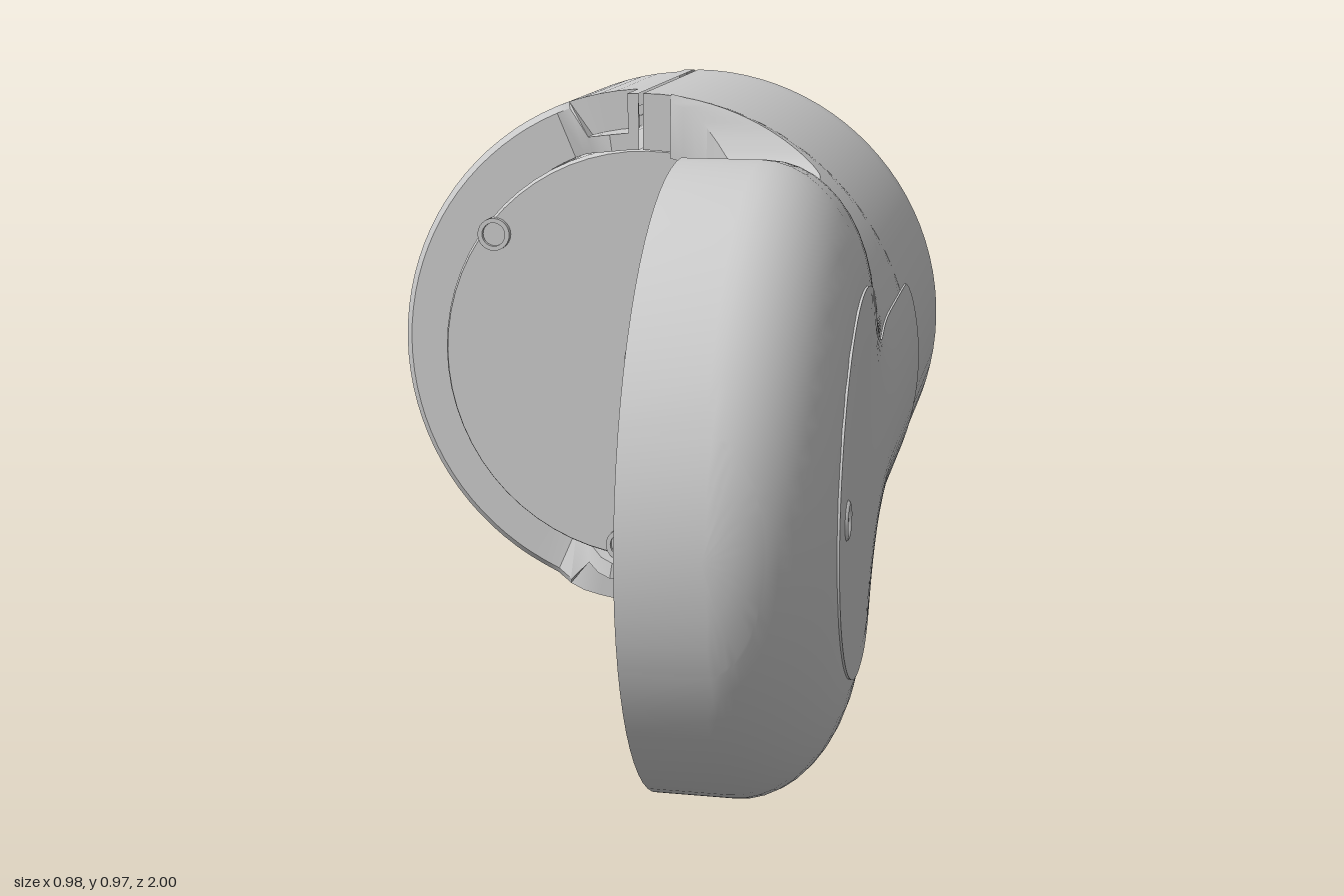
import * as THREE from 'three';
import { toCreasedNormals } from 'three/addons/utils/BufferGeometryUtils.js';

const CY = 0.485, R = 0.485, HZ = 0.535, HR = 0.465, RIM = 0.215, JOIN = -0.262;
const { smoothstep, lerp } = THREE.MathUtils;
const mat = new THREE.MeshStandardMaterial({ color: 0xcccccc });
const matDouble = new THREE.MeshStandardMaterial({ color: 0xcccccc, side: THREE.DoubleSide });

function add(parent, name, geometry, material = mat) {
  const mesh = new THREE.Mesh(geometry, material);
  mesh.name = name;
  parent.add(mesh);
  return mesh;
}

// Skin a list of equal-length cross-sections of [x, y, z] points
function loft(rows, closed, crease = 0.6) {
  const n = rows[0].length, index = [];
  for (let i = 0; i < rows.length - 1; i++) {
    for (let j = 0; j < (closed ? n : n - 1); j++) {
      const a = i * n + j, b = i * n + (j + 1) % n;
      index.push(a, a + n, b, b, a + n, b + n);
    }
  }
  const g = new THREE.BufferGeometry();
  g.setAttribute('position', new THREE.Float32BufferAttribute(rows.flat(2), 3));
  g.setIndex(index);
  return toCreasedNormals(g, crease);
}

// Solid of revolution about the barrel axis, profile given as [radius, z]
function turned(profile, segments = 64) {
  const g = new THREE.LatheGeometry(profile.map(([r, z]) => new THREE.Vector2(r, z)), segments);
  g.rotateX(Math.PI / 2);
  return toCreasedNormals(g.translate(0, CY, 0), 0.6);
}

// Half-width of the arm along z: head circle, neck, flare into the barrel
const neck = new THREE.SplineCurve([[0.535, 0.465], [0.4, 0.447], [0.3, 0.417], [0.2, 0.386], [0.1, 0.367],
  [0, 0.358], [-0.15, 0.355], [-0.2, 0.37], [-0.23, 0.41], [-0.25, 0.455], [JOIN, 0.482]]
  .map(p => new THREE.Vector2(...p))).getPoints(50);
function halfWidth(z) {
  if (z >= HZ) return Math.sqrt(Math.max(0, HR * HR - (z - HZ) ** 2));
  if (z <= JOIN) return R;
  const i = Math.max(1, neck.findIndex(p => p.x <= z));
  const a = neck[i - 1], b = neck[i];
  return lerp(a.y, b.y, (z - a.x) / (b.x - a.x));
}

// Outer x of the arm: flat rounded head blending into the barrel's curve
function outerX(z, y) {
  const w = Math.max(halfWidth(z), 1e-5);
  const rho = z > HZ ? Math.hypot(y, z - HZ) : Math.abs(y) / w * HR;
  const k = Math.min(1, Math.max(0, (rho - 0.25) / 0.215));
  const head = 0.33 + 0.155 * Math.sqrt(1 - k * k);
  const yn = z > -0.15 ? y / w * Math.min(w, 0.355) : y;
  const barrel = Math.sqrt(Math.max(0, R * R - yn * yn));
  return lerp(barrel, head, smoothstep(z, -0.05, 0.5));
}

// Hollow arm, open towards -x
function armShell() {
  const zs = [];
  for (let a = 90; a > 0; a -= 5) zs.push(HZ + HR * Math.sin(a * Math.PI / 180));
  zs.push(0.9702, 0.97);
  zs.sort((a, b) => b - a);
  neck.forEach(p => zs.push(p.x));
  const N = 32;
  return loft(zs.map(z => {
    const w = halfWidth(z);
    const xb = z > -0.08 ? RIM : 0.05 + 0.165 * Math.sqrt(Math.max(0, 1 - ((z + 0.08) / 0.175) ** 2));
    const t = 0.025 + 0.072 * smoothstep(-z, 0.15, 0.26);
    const wi = z > 0.97 ? 0 : z > HZ ? Math.sqrt(Math.max(0, 0.435 ** 2 - (z - HZ) ** 2)) : Math.min(w - t, 0.435);
    const outer = [], inner = [];
    for (let j = 0; j <= N; j++) {
      const y = -w * Math.cos(Math.PI * j / N), x = Math.max(xb, outerX(z, y));
      outer.push([x, CY + y, z]);
      inner.push([z > 0.97 ? xb : Math.max(xb, x - 0.045), CY + (w ? y * wi / w : 0), z]);
    }
    return [[xb, CY - w, z], ...outer, [xb, CY + w, z], [xb, CY + wi, z], ...inner.reverse(), [xb, CY - wi, z]];
  }), true);
}

// Half of the barrel wall between two angles; front(x) gives its front edge, pockets are sunk in
function sleeve(a0, a1, front, pockets) {
  const angles = [];
  for (let i = 0; i <= 48; i++) angles.push(lerp(a0, a1, i / 48));
  for (const p of pockets) {
    for (const x of [p.x0 - 0.001, p.x0, p.x1, p.x1 + 0.001]) {
      angles.push(Math.acos(x / R), 2 * Math.PI - Math.acos(x / R));
    }
  }
  angles.sort((a, b) => a - b);
  const zs = [-1, -0.851, -0.85, -0.82, -0.77, -0.769, -0.361, -0.36];
  return loft(angles.map(a => {
    const x = R * Math.cos(a), zf = front(x);
    const at = (r, z) => [r * Math.cos(a), CY + r * Math.sin(a), z];
    const wall = (z, base) => {
      const p = pockets.find(q => x >= q.x0 - 1e-6 && x <= q.x1 + 1e-6 && z >= q.z0 - 1e-6 && z <= q.z1 + 1e-6);
      return at(p ? p.r : base, z);
    };
    return [at(0.385, zf), at(0.385, -0.965), at(0.405, -0.965), at(0.405, -1),
      ...zs.map(z => Math.min(z, zf - 0.012)).map(z => wall(z, z < -0.82 ? lerp(0.44, R, (z + 1) / 0.18) : R)),
      wall(zf - 0.012, R), wall(zf, zf < -0.3 ? R - 0.012 : R)];
  }), true);
}

// Raised cover on the arm's outer face, following its surface
function coverPanel() {
  const pts = [];
  for (let a = 90; a >= -35; a -= 5) {
    const t = a * Math.PI / 180;
    pts.push([HZ + 0.285 * Math.sin(t), 0.285 * Math.cos(t)]);
  }
  pts.push([0.33, 0.2], [0.3, 0.182], [0.27, 0.166], [0.24, 0.155], [0.2, 0.149]);
  for (let z = 0.15; z > -0.33; z -= 0.05) pts.push([z, 0.148]);
  pts.push([-0.345, 0.147], [-0.365, 0.138], [-0.376, 0.125], [-0.38, 0.108], [-0.38, 0]);
  return loft(pts.map(([z, p]) => {
    const row = [[outerX(z, p) - 0.008, CY - p, z]];
    for (let j = 0; j <= 16; j++) {
      const y = p * (j / 8 - 1);
      row.push([outerX(z, y) + 0.003, CY + y, z]);
    }
    return [...row, [outerX(z, p) - 0.008, CY + p, z]];
  }), false);
}

// Flat mounting plate inside the arm
function innerPlate() {
  const s = new THREE.Shape();
  s.absarc(-HZ, 0, 0.4, 0.7, 2 * Math.PI - 0.7);
  s.lineTo(0.05, -0.22).lineTo(0.05, 0.22);
  const hole = (a, b, r) => s.holes.push(new THREE.Path().absarc(a, b, r, 0, Math.PI * 2, true));
  hole(-HZ, 0, 0.13);
  hole(-0.2, 0.1, 0.03);
  hole(-0.2, -0.1, 0.03);
  const g = new THREE.ExtrudeGeometry(s, { depth: 0.02, bevelEnabled: false, curveSegments: 32 });
  return g.rotateY(Math.PI / 2).translate(0.35, CY, 0);
}

// Back cover with scalloped screw notches round its edge
function backCover() {
  const s = new THREE.Shape(), n = 9;
  for (let i = 0; i < n; i++) {
    const a = (i + 0.5) / n * Math.PI * 2, d = 0.075;
    s.absarc(0, 0, 0.404, a - Math.PI * 2 / n + d, a - d);
    s.absarc(0.39 * Math.cos(a), 0.39 * Math.sin(a), 0.028, a - Math.PI / 2, a + Math.PI / 2, true);
  }
  s.holes.push(new THREE.Path().absarc(0, 0, 0.275, 0, Math.PI * 2, true));
  const g = new THREE.ExtrudeGeometry(s, { depth: 0.028, bevelEnabled: false, curveSegments: 12 });
  return g.translate(0, CY, -0.99);
}

export function createModel() {
  const model = new THREE.Group();
  model.name = 'sideArmHousing';

  // Barrel: two wall halves with a narrow seam between them
  const barrel = new THREE.Group();
  barrel.name = 'barrel';
  model.add(barrel);
  add(barrel, 'armSideWall', sleeve(-Math.PI / 2, Math.PI / 2, () => JOIN, []), matDouble);
  add(barrel, 'removableWall', sleeve(Math.PI / 2 + 0.017, Math.PI * 1.5 - 0.017,
    x => -0.39 + 0.13 * smoothstep(x, -0.2, -0.07),
    [{ x0: -0.26, x1: -0.03, z0: -0.85, z1: -0.77, r: 0.43 },
      { x0: -0.16, x1: -0.03, z0: -0.36, z1: 0, r: 0.415 }]), matDouble);

  // Core and back details
  add(barrel, 'core', turned([[0, -0.965], [0.384, -0.965], [0.384, -0.32], [0.378, -0.305], [0, -0.305]]), matDouble);
  add(barrel, 'backCover', backCover());
  add(barrel, 'backDisc', turned([[0, -0.985], [0.245, -0.985], [0.25, -0.995], [0.262, -0.995], [0.262, -0.96]]), matDouble);
  add(barrel, 'backCentre', turned([[0, -1], [0.08, -1], [0.08, -0.98]], 32), matDouble);

  // Front face: cable cover, hub and screw bosses
  const ribbon = new THREE.Shape([[-0.02, 0.515], [0.168, 0.705], [0.14, 0.815], [0.17, 0.815], [0.225, 0.77],
    [0.225, 0.625], [0.03, 0.46]].map(p => new THREE.Vector2(...p)));
  add(barrel, 'cableCover', new THREE.ExtrudeGeometry(ribbon, { depth: 0.007, bevelEnabled: false }).translate(0, 0, -0.305));
  const boss = (name, x, y, r) => add(barrel, name, turned([[0, -0.302], [r * 0.72, -0.302], [r * 0.72, -0.293],
    [r, -0.293], [r, -0.33]], 24).translate(x, y - CY, 0), matDouble);
  boss('hub', 0, CY, 0.04);
  [[-0.285, 0.705], [0.105, 0.822], [-0.045, 0.13]].forEach(([x, y]) => boss('screwBoss', x, y, 0.03));

  // Arm with outer cover
  const arm = new THREE.Group();
  arm.name = 'arm';
  model.add(arm);
  add(arm, 'armShell', armShell(), matDouble);
  add(arm, 'coverPanel', coverPanel(), matDouble);
  add(arm, 'coverHole', new THREE.TorusGeometry(0.023, 0.006, 8, 24).rotateY(Math.PI / 2).translate(0.486, CY, 0.75));

  // Arm interior: plate, posts and wall ribs
  add(arm, 'innerPlate', innerPlate());
  for (let i = 0; i < 3; i++) {
    const a = i / 3 * Math.PI * 2 + Math.PI / 2;
    const post = new THREE.CylinderGeometry(0.032, 0.032, 0.1, 20).rotateZ(Math.PI / 2);
    add(arm, 'post', post.translate(0.305, CY + 0.2 * Math.sin(a), HZ + 0.2 * Math.cos(a)));
  }
  for (const a of [-0.9, 0, 0.9]) {
    const rib = add(arm, 'rib', new THREE.BoxGeometry(0.07, 0.02, 0.07).translate(0.32, 0, 0.395));
    rib.position.set(0, CY, HZ);
    rib.rotation.x = a;
  }
  return model;
}
